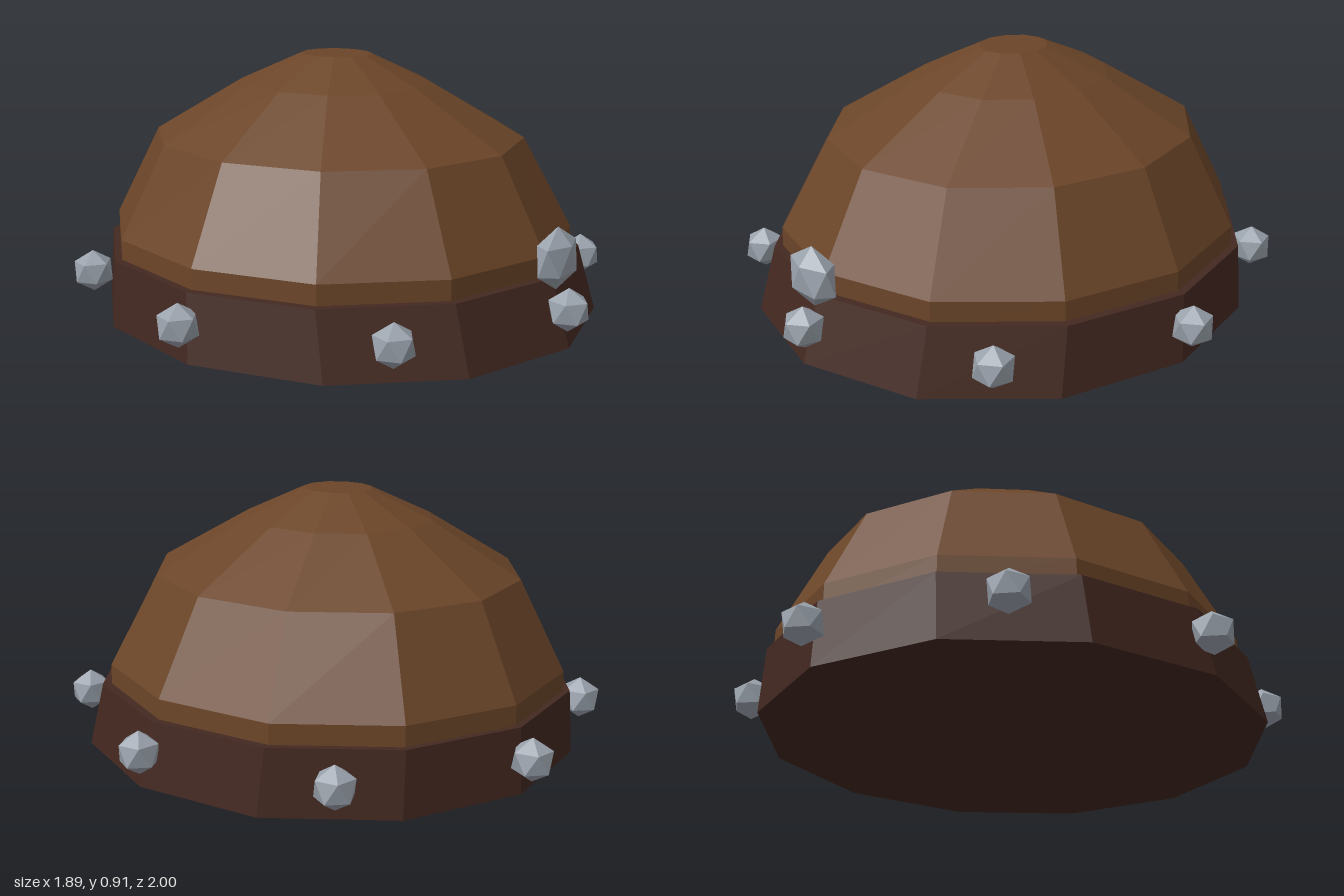
import * as THREE from 'three';

const SIDES = 12;

// Faceted shell through elliptical rings [y, radiusX, radiusZ, centreZ], listed bottom to top
function loft(rings, { capBottom = false, capTop = false } = {}) {
  const pos = [], idx = [];
  const addRing = ([y, rx, rz, cz]) => {
    for (let i = 0; i < SIDES; i++) {
      const a = (i / SIDES) * Math.PI * 2;
      pos.push(Math.sin(a) * rx, y, cz + Math.cos(a) * rz);
    }
  };
  rings.forEach(addRing);
  for (let r = 0; r < rings.length - 1; r++) {
    for (let i = 0; i < SIDES; i++) {
      const a = r * SIDES + i, b = r * SIDES + ((i + 1) % SIDES);
      idx.push(a, b, b + SIDES, a, b + SIDES, a + SIDES);
    }
  }
  const top = (rings.length - 1) * SIDES;
  for (let i = 1; i < SIDES - 1; i++) {
    if (capBottom) idx.push(0, i + 1, i);
    if (capTop) idx.push(top, top + i, top + i + 1);
  }
  const indexed = new THREE.BufferGeometry();
  indexed.setAttribute('position', new THREE.Float32BufferAttribute(pos, 3));
  indexed.setIndex(idx);
  const flat = indexed.toNonIndexed();
  flat.computeVertexNormals();
  return flat;
}

export function createModel() {
  const group = new THREE.Group();
  const leather = new THREE.MeshStandardMaterial({ color: 0x6b4528 });
  leather.name = 'brown leather';
  const darkLeather = new THREE.MeshStandardMaterial({ color: 0x432820 });
  darkLeather.name = 'dark leather';
  const steel = new THREE.MeshStandardMaterial({ color: 0x9aa2ac });
  steel.name = 'steel';

  const add = (name, geometry, material, position = [0, 0, 0]) => {
    const mesh = new THREE.Mesh(geometry, material);
    mesh.name = name;
    mesh.position.set(...position);
    group.add(mesh);
    return mesh;
  };

  // Domed crown with a small flat top
  add('crown', loft([
    [0.2, 0.805, 0.85, -0.01],
    [0.3, 0.803, 0.85, -0.01],
    [0.62, 0.635, 0.683, -0.018],
    [0.81, 0.325, 0.353, -0.028],
    [0.91, 0.117, 0.13, -0.025],
  ], { capTop: true }), leather);

  // Flared brow band with a narrow upper lip and a closed underside
  add('browBand', loft([
    [0, 0.867, 0.917, 0.024],
    [0.23, 0.835, 0.876, -0.006],
    [0.23, 0.8, 0.845, -0.01],
  ], { capBottom: true }), darkLeather);

  // Faceted stud with one corner pointing straight up
  const studGeometry = (radius) => new THREE.IcosahedronGeometry(radius, 0)
    .rotateX(-Math.atan2((1 + Math.sqrt(5)) / 2, 1));

  // Eight studs around the band
  const stud = studGeometry(0.076);
  for (let i = 0; i < 8; i++) {
    const a = (i / 8) * Math.PI * 2;
    add('stud', stud, steel, [Math.sin(a) * 0.882, 0.133, Math.cos(a) * 0.933]);
  }

  // Larger flattened stud on the brow
  add('browStud', studGeometry(0.108), steel, [0, 0.303, 0.884]).scale.set(1.08, 1, 0.55);

  return group;
}
